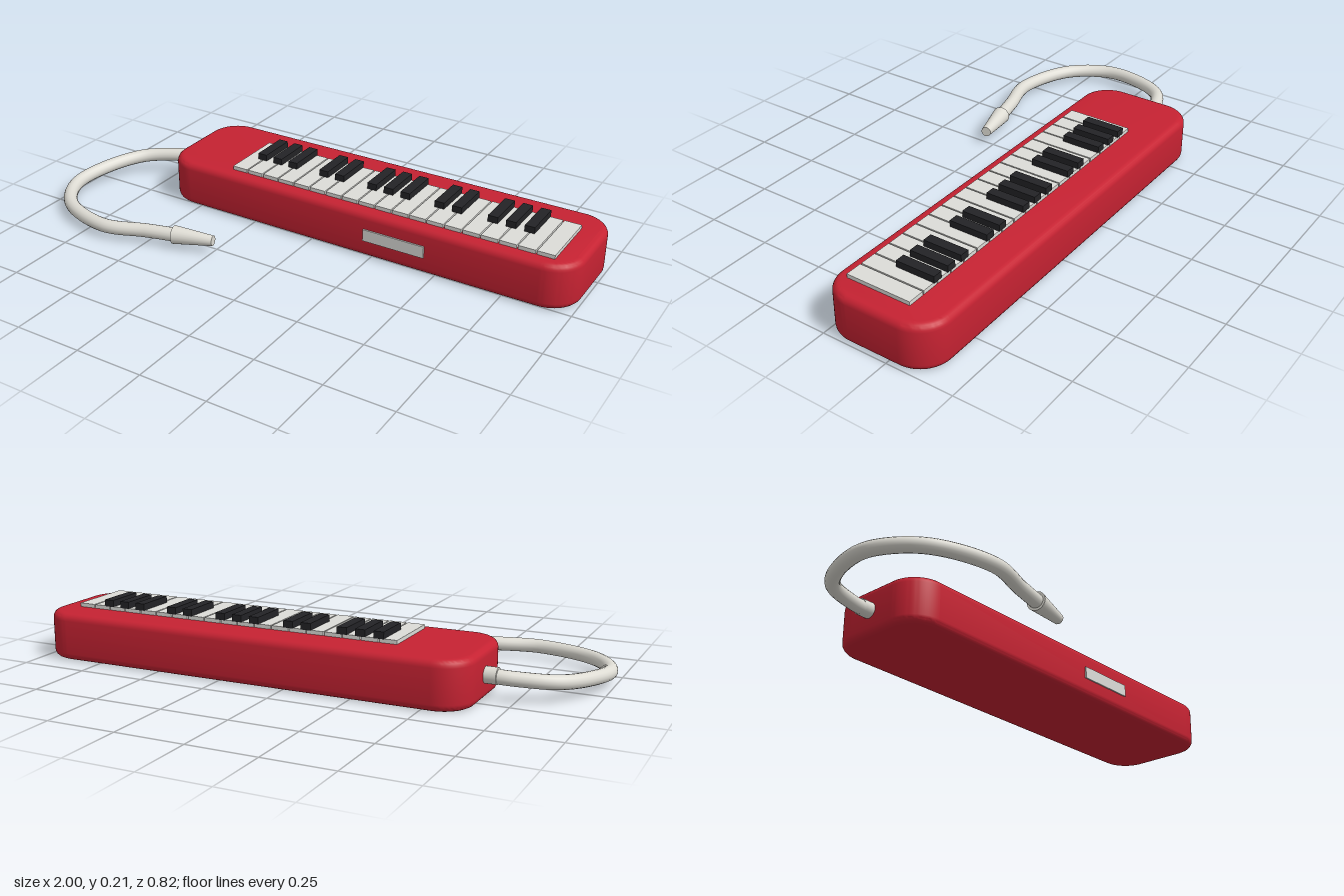
import * as THREE from 'three';
import { toCreasedNormals } from 'three/addons/utils/BufferGeometryUtils.js';

const red = new THREE.MeshStandardMaterial({ color: 0xc62232 });
red.name = 'red casing';
const white = new THREE.MeshStandardMaterial({ color: 0xdcdcd8 });
white.name = 'white keys';
const black = new THREE.MeshStandardMaterial({ color: 0x232326 });
black.name = 'black keys';
const cream = new THREE.MeshStandardMaterial({ color: 0xdedcd4 });
cream.name = 'pale hose';

export function createModel() {
  const model = new THREE.Group();
  model.name = 'keyboardWindInstrument';

  const add = (name, geometry, material, parent = model) => {
    const mesh = new THREE.Mesh(geometry, material);
    mesh.name = name;
    parent.add(mesh);
    return mesh;
  };
  const box = (name, x0, x1, y0, y1, z0, z1, material, parent) =>
    add(name, new THREE.BoxGeometry(x1 - x0, y1 - y0, z1 - z0), material, parent)
      .position.set((x0 + x1) / 2, (y0 + y1) / 2, (z0 + z1) / 2);
  // Straight round piece between two points
  const rod = (name, from, to, r0, r1) => {
    const dir = to.clone().sub(from);
    const mesh = add(name, new THREE.CylinderGeometry(r1, r0, dir.length(), 24), cream);
    mesh.position.copy(from).addScaledVector(dir, 0.5);
    mesh.quaternion.setFromUnitVectors(new THREE.Vector3(0, 1, 0), dir.normalize());
  };

  // Casing: rounded plan, softened top and bottom rims
  const bevel = 0.026, height = 0.173, r = 0.115 - bevel;
  const x0 = -0.652 + bevel, x1 = 0.996 - bevel;
  const y0 = -0.016 + bevel, y1 = 0.41 - bevel; // shape y becomes -z
  const plan = new THREE.Shape();
  plan.absarc(x1 - r, y0 + r, r, -Math.PI / 2, 0);
  plan.absarc(x1 - r, y1 - r, r, 0, Math.PI / 2);
  plan.absarc(x0 + r, y1 - r, r, Math.PI / 2, Math.PI);
  plan.absarc(x0 + r, y0 + r, r, Math.PI, Math.PI * 1.5);
  const casing = new THREE.ExtrudeGeometry(plan, {
    depth: height - 2 * bevel, bevelThickness: bevel, bevelSize: bevel,
    bevelSegments: 5, curveSegments: 10,
  });
  casing.translate(0, 0, bevel).rotateX(-Math.PI / 2);
  add('casing', toCreasedNormals(casing, 0.6), red);

  // Plain plate on the front
  box('frontPlate', 0.222, 0.462, 0.066, 0.111, 0.014, 0.022, white);

  // Keyboard: 19 white keys starting at F, black keys in threes and twos
  const keys = new THREE.Group();
  keys.name = 'keyboard';
  model.add(keys);
  const left = -0.372, pitch = 0.0677, gap = 0.0025, count = 19;
  const sharpAfter = [1, 1, 1, 0, 1, 1, 0];
  for (let i = 0; i < count; i++) {
    const x = left + i * pitch;
    box('whiteKey', x + gap, x + pitch - gap, 0.168, 0.187, -0.28, -0.034, white, keys);
    if (i < count - 1 && sharpAfter[i % 7]) {
      const c = x + pitch;
      box('blackKey', c - 0.0185, c + 0.0185, 0.186, 0.211, -0.283, -0.135, black, keys);
    }
  }

  // Hose socket, curved hose and tapered mouthpiece
  const v = (x, y, z) => new THREE.Vector3(x, y, z);
  rod('hoseSocket', v(-0.64, 0.087, -0.205), v(-0.695, 0.087, -0.205), 0.029, 0.029);
  const path = new THREE.CatmullRomCurve3([
    v(-0.67, 0.086, -0.206), v(-0.74, 0.08, -0.19), v(-0.875, 0.068, -0.125),
    v(-0.955, 0.056, 0.015), v(-0.975, 0.045, 0.17), v(-0.88, 0.042, 0.312),
    v(-0.665, 0.043, 0.382), v(-0.5, 0.047, 0.338), v(-0.38, 0.049, 0.309),
  ]);
  add('hose', new THREE.TubeGeometry(path, 72, 0.0255, 16), cream);
  rod('mouthpiece', v(-0.393, 0.049, 0.312), v(-0.243, 0.051, 0.279), 0.034, 0.019);

  return model;
}
